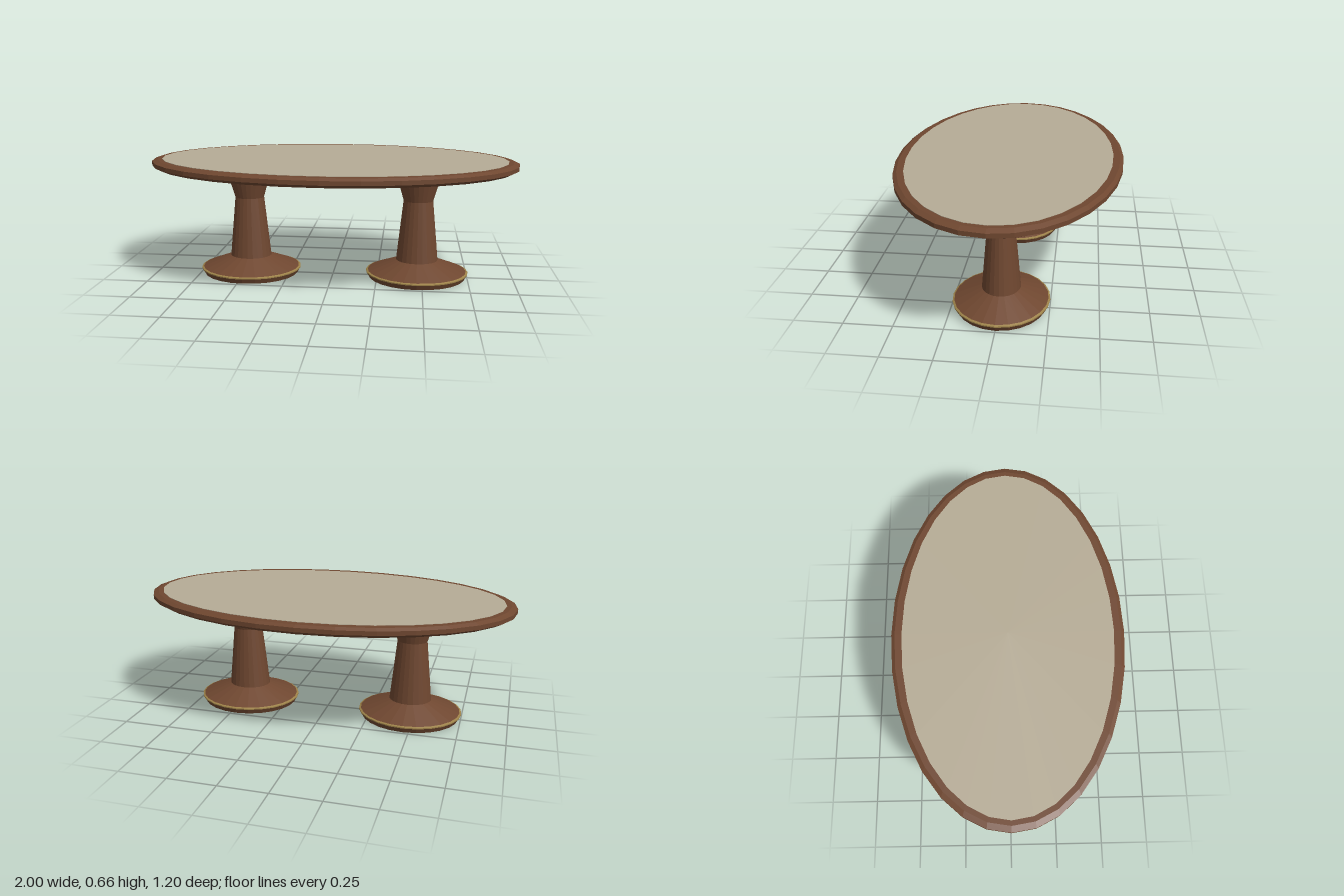
import * as THREE from 'three';

export function createModel() {
  const model = new THREE.Group();
  model.name = 'ovalTable';

  const makeMaterial = (name, color) => {
    const m = new THREE.MeshStandardMaterial({ color, flatShading: true });
    m.name = name;
    return m;
  };
  const wood = makeMaterial('walnut wood', 0x6f4730);
  const inlayStone = makeMaterial('pale inlay', 0xb6ac96);
  const brass = makeMaterial('brass trim', 0x9c8148);

  // Turned part squashed to an ellipse; profile is [radius, y] from bottom to top
  function turned(name, profile, segments, material, scaleX, scaleZ = 1) {
    const points = profile.map(([r, y]) => new THREE.Vector2(r, y));
    const geometry = new THREE.LatheGeometry(points, segments);
    geometry.scale(scaleX, 1, scaleZ);
    const mesh = new THREE.Mesh(geometry, material);
    mesh.name = name;
    return mesh;
  }

  // Oval top with chamfered rim
  model.add(turned('tableTop', [
    [0, 0.61], [0.97, 0.61], [1, 0.625], [1, 0.647], [0.97, 0.658], [0, 0.658],
  ], 32, wood, 1, 0.6));

  // Thin inlaid panel
  model.add(turned('topInlay', [
    [0, 0.656], [1, 0.656], [1, 0.66], [0, 0.66],
  ], 32, inlayStone, 0.945, 0.546));

  // Two pedestals, slightly wider in x than in z
  for (const side of [1, -1]) {
    const pedestal = new THREE.Group();
    pedestal.name = side > 0 ? 'leftPedestal' : 'rightPedestal';
    pedestal.position.x = side * 0.47;

    pedestal.add(turned('foot', [
      [0, 0], [0.235, 0], [0.248, 0.028], [0.245, 0.036], [0.1, 0.1], [0, 0.1],
    ], 24, wood, 1.13));

    // Narrow brass band around the foot edge
    pedestal.add(turned('footTrim', [
      [0.243, 0.028], [0.25, 0.028], [0.25, 0.034], [0.241, 0.038],
    ], 24, brass, 1.13));

    pedestal.add(turned('column', [
      [0.1, 0.1], [0.07, 0.435], [0.1, 0.553],
    ], 24, wood, 1.15));

    pedestal.add(turned('flaredSupport', [
      [0, 0.553], [0.1, 0.553], [0.2, 0.61],
    ], 24, wood, 1.15));

    model.add(pedestal);
  }

  return model;
}
